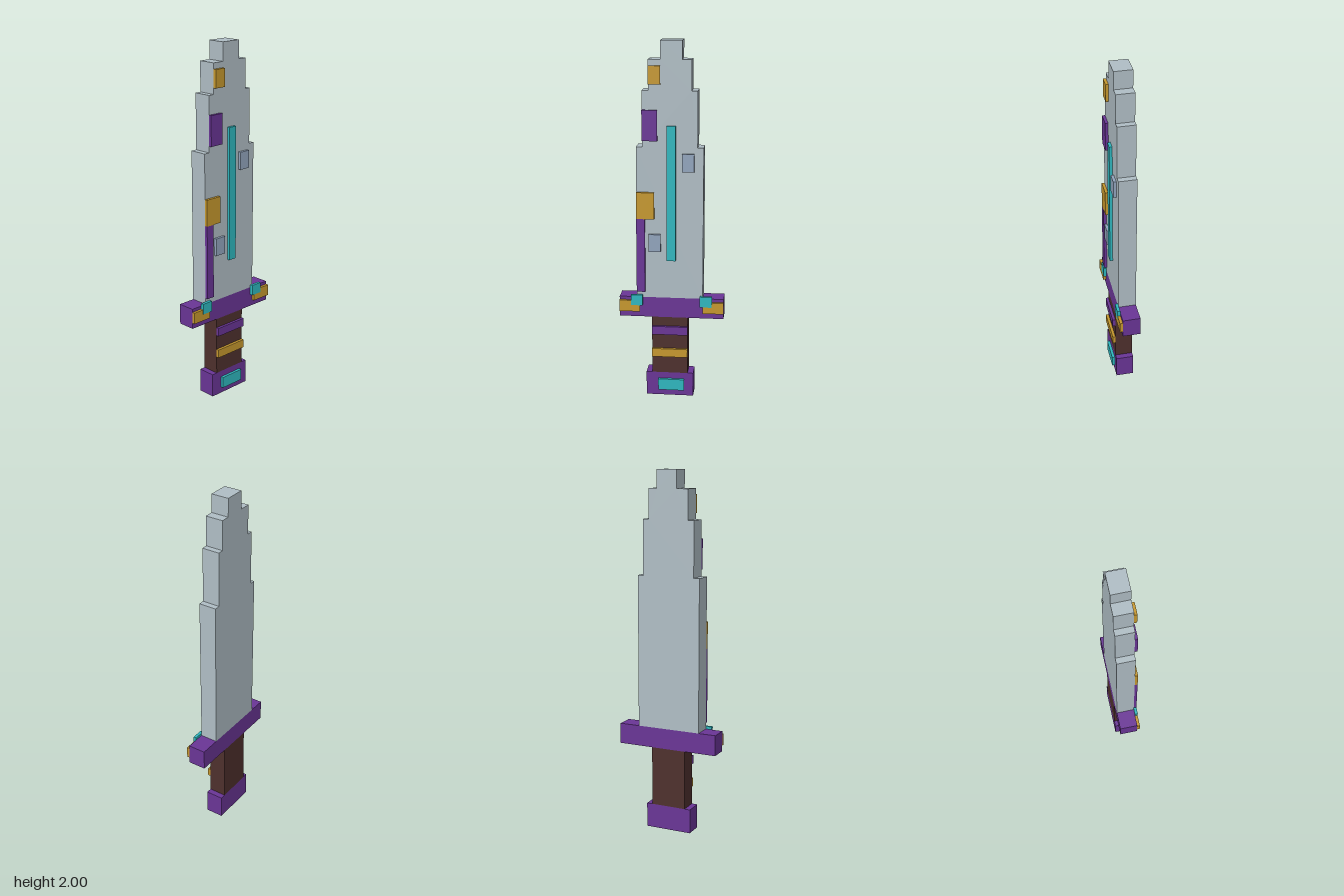
import * as THREE from 'three';

const material = (name, color) => {
  const m = new THREE.MeshStandardMaterial({ color });
  m.name = name;
  return m;
};

export function createModel() {
  const blade = material('pale steel', 0xb0bec5);
  const purple = material('purple', 0x6a3596);
  const gold = material('gold', 0xc6982e);
  const cyan = material('cyan', 0x2fb7bf);
  const blueGrey = material('blue grey', 0x92a5bd);
  const brown = material('dark brown', 0x4e302d);

  const group = new THREE.Group();
  group.name = 'dagger';
  const BACK = -0.058, FACE = 0.042, FRONT = 0.058;

  // Box given by its left, right, bottom, top and depth limits
  const block = (name, mat, x0, x1, y0, y1, z0 = BACK, z1 = FACE) => {
    const mesh = new THREE.Mesh(new THREE.BoxGeometry(x1 - x0, y1 - y0, z1 - z0), mat);
    mesh.position.set((x0 + x1) / 2, (y0 + y1) / 2, (z0 + z1) / 2);
    mesh.name = name;
    group.add(mesh);
  };
  // Raised inlay on the front face
  const inlay = (name, mat, x0, x1, y0, y1, z1 = FRONT) =>
    block(name, mat, x0, x1, y0, y1, FACE, z1);

  // Stepped blade: [left, right, top] of each tier
  const tiers = [
    [-0.193, 0.173, 1.433],
    [-0.16, 0.14, 1.737],
    [-0.126, 0.107, 1.9],
    [-0.06, 0.057, 2],
  ];
  const rightEdge = [], leftEdge = [];
  let y = 0.585;
  for (const [l, r, top] of tiers) {
    rightEdge.push(new THREE.Vector2(r, y), new THREE.Vector2(r, top));
    leftEdge.push(new THREE.Vector2(l, y), new THREE.Vector2(l, top));
    y = top;
  }
  const outline = new THREE.Shape([...rightEdge, ...leftEdge.reverse()]);
  const bladeMesh = new THREE.Mesh(
    new THREE.ExtrudeGeometry(outline, { depth: FACE - BACK, bevelEnabled: false }), blade);
  bladeMesh.position.z = BACK;
  bladeMesh.name = 'blade';
  group.add(bladeMesh);

  // Hilt
  block('guard', purple, -0.292, 0.29, 0.47, 0.585);
  block('grip', brown, -0.11, 0.09, 0.137, 0.47);
  block('pommel', purple, -0.143, 0.123, 0, 0.137);

  // Blade inlays
  inlay('bladeCore', cyan, -0.026, 0.023, 0.803, 1.55);
  inlay('upperGoldPatch', gold, -0.126, -0.06, 1.77, 1.868);
  inlay('upperPurplePatch', purple, -0.16, -0.077, 1.468, 1.634);
  inlay('lowerGoldPatch', gold, -0.193, -0.095, 1.037, 1.185);
  inlay('purpleEdge', purple, -0.193, -0.146, 0.62, 1.037);
  inlay('upperBluePatch', blueGrey, 0.057, 0.123, 1.302, 1.4);
  inlay('lowerBluePatch', blueGrey, -0.126, -0.06, 0.853, 0.951);

  // Guard trim and gems
  inlay('rightGuardTrim', gold, -0.292, -0.177, 0.503, 0.567);
  inlay('leftGuardTrim', gold, 0.174, 0.29, 0.503, 0.567);
  inlay('rightGuardGem', cyan, -0.227, -0.162, 0.54, 0.6, FRONT + 0.001);
  inlay('leftGuardGem', cyan, 0.158, 0.225, 0.54, 0.6, FRONT + 0.001);

  // Grip bands and pommel gem
  inlay('upperGripBand', purple, -0.11, 0.09, 0.37, 0.418);
  inlay('lowerGripBand', gold, -0.11, 0.09, 0.237, 0.285);
  inlay('pommelGem', cyan, -0.075, 0.071, 0.036, 0.101);

  return group;
}
